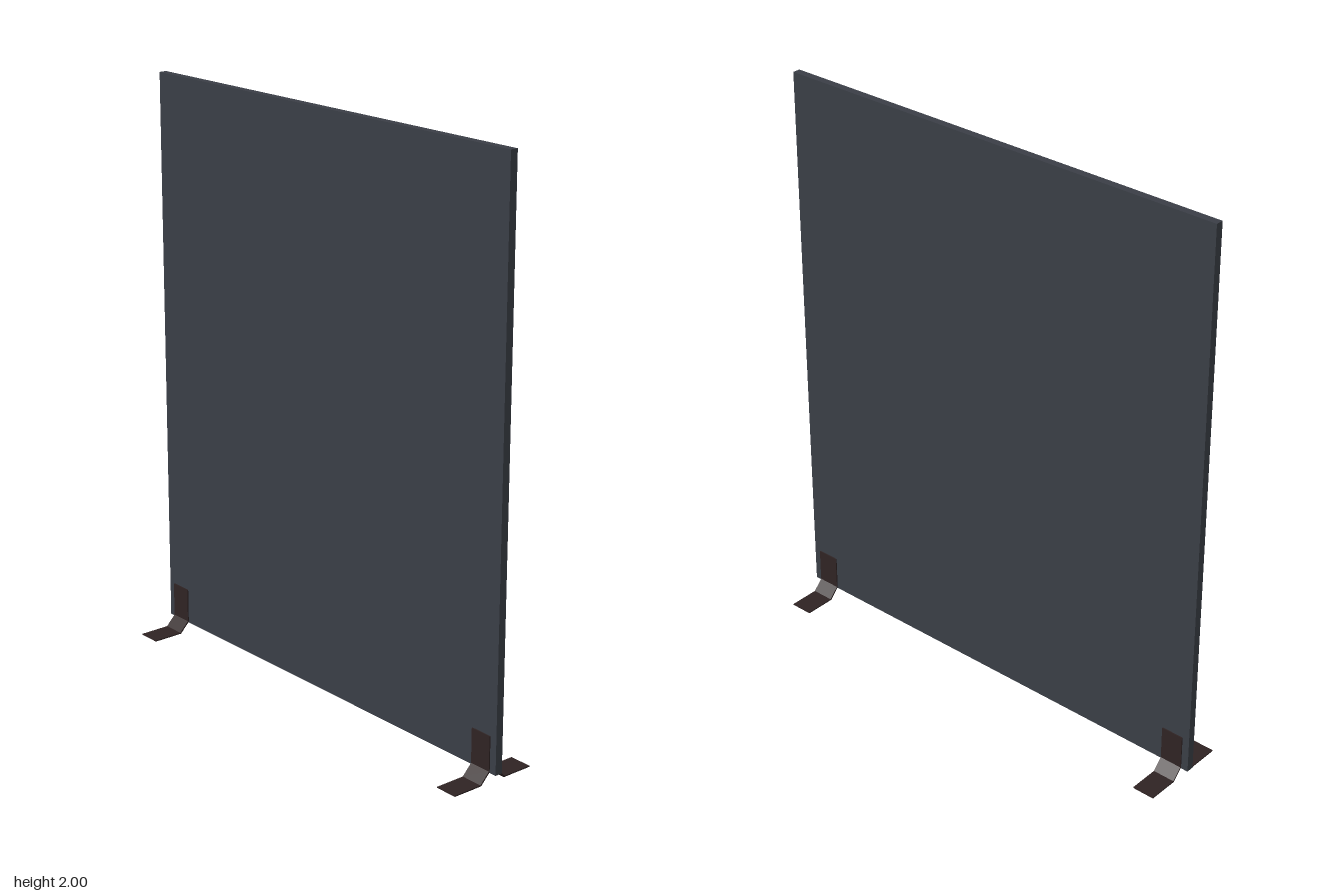
import * as THREE from 'three';

export function createModel() {
  const model = new THREE.Group();
  const panelGrey = new THREE.MeshStandardMaterial({ name: 'slate grey', color: 0x3a3e46 });
  const footBrown = new THREE.MeshStandardMaterial({ name: 'dark brown metal', color: 0x2f2323 });

  // Upright screen panel
  const panel = new THREE.Mesh(new THREE.BoxGeometry(1.686, 1.966, 0.027), panelGrey);
  panel.name = 'panel';
  panel.position.y = 0.034 + 1.966 / 2;
  model.add(panel);

  // Bent strip profile: clamp plate, sloped leg, flat foot (x = outward, y = up)
  const profile = new THREE.Shape([
    [0.0135, 0.16], [0.0135, 0.037], [0.049, 0], [0.16, 0],
    [0.16, 0.004], [0.052, 0.004], [0.0175, 0.04], [0.0175, 0.16],
  ].map(([x, y]) => new THREE.Vector2(x, y)));
  const width = 0.08;
  const bracketGeometry = new THREE.ExtrudeGeometry(profile, { depth: width, bevelEnabled: false });
  bracketGeometry.translate(0, 0, -width / 2);

  // A front and a back bracket near each end of the panel
  for (const [side, x] of [['left', 0.777], ['right', -0.777]]) {
    const foot = new THREE.Group();
    foot.name = `${side}Foot`;
    foot.position.x = x;
    for (const [end, turn] of [['front', -1], ['back', 1]]) {
      const bracket = new THREE.Mesh(bracketGeometry, footBrown);
      bracket.name = `${end}Bracket`;
      bracket.rotation.y = turn * Math.PI / 2;
      foot.add(bracket);
    }
    model.add(foot);
  }
  return model;
}
